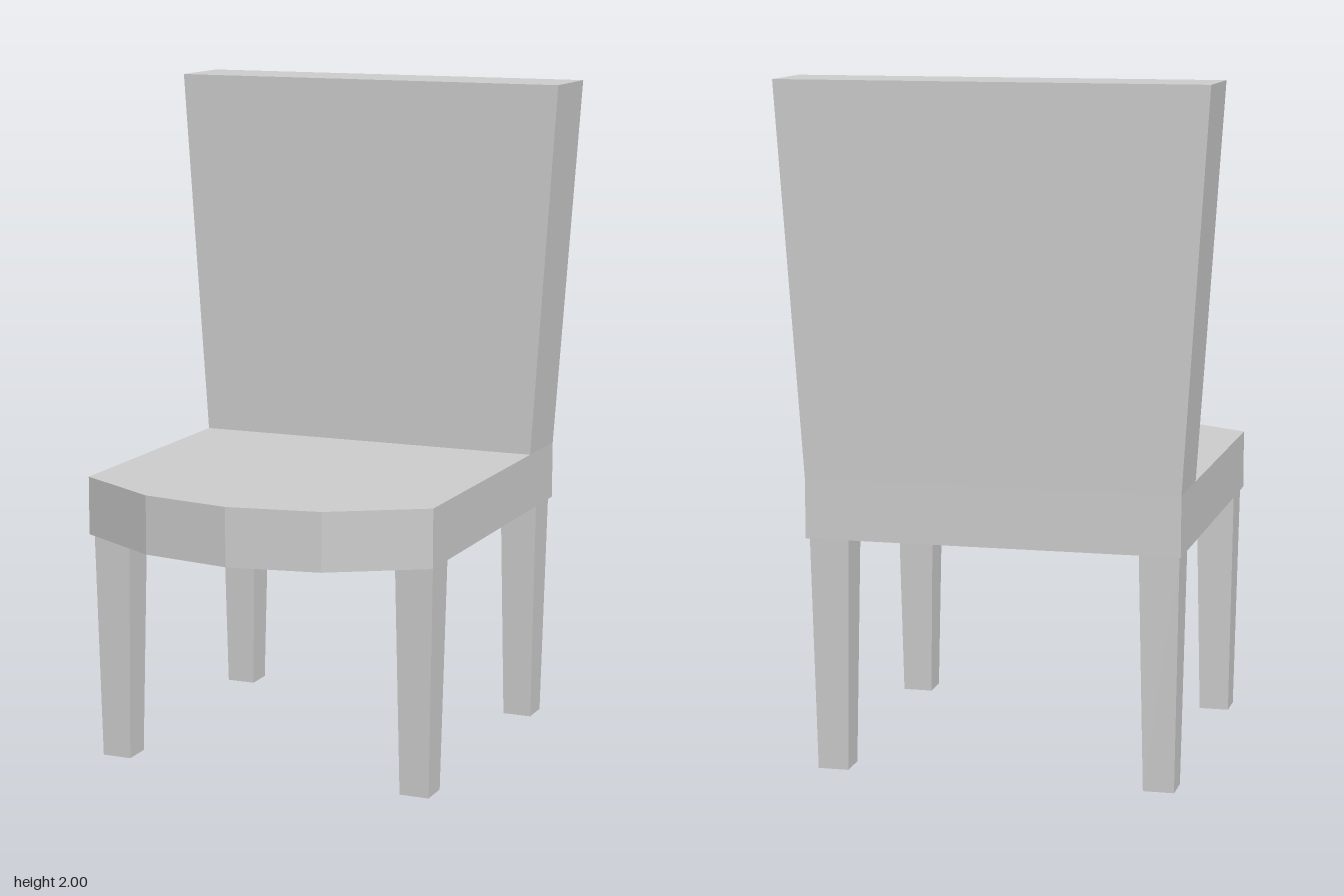
import * as THREE from 'three';

const material = new THREE.MeshStandardMaterial({ color: 0xcccccc, flatShading: true });

// Box whose bottom and top rectangles differ: each is [x0, x1, z0, z1]
function taperedBox(name, y0, y1, bottom, top) {
  const geometry = new THREE.BoxGeometry(1, 1, 1);
  const p = geometry.attributes.position;
  for (let i = 0; i < p.count; i++) {
    const up = p.getY(i) > 0;
    const r = up ? top : bottom;
    p.setXYZ(i, p.getX(i) > 0 ? r[1] : r[0], up ? y1 : y0, p.getZ(i) > 0 ? r[3] : r[2]);
  }
  geometry.computeVertexNormals();
  const mesh = new THREE.Mesh(geometry, material);
  mesh.name = name;
  return mesh;
}

export function createModel() {
  const chair = new THREE.Group();
  chair.name = 'chair';
  const seatBottom = 0.69, seatTop = 0.865;

  // Seat: plan outline with a faceted bowed front, extruded upward
  const outline = [
    [-0.547, -0.622], [0.547, -0.622], [0.547, 0.422],
    [0.275, 0.588], [0, 0.636], [-0.275, 0.588], [-0.547, 0.422],
  ];
  const shape = new THREE.Shape(outline.map(([x, z]) => new THREE.Vector2(x, -z)));
  const seatGeometry = new THREE.ExtrudeGeometry(shape, {
    depth: seatTop - seatBottom, bevelEnabled: false,
  });
  seatGeometry.rotateX(-Math.PI / 2).translate(0, seatBottom, 0);
  const seat = new THREE.Mesh(seatGeometry, material);
  seat.name = 'seat';
  chair.add(seat);

  // Backrest: flares outward and thickens slightly toward the top
  chair.add(taperedBox('backrest', seatTop, 2,
    [-0.547, 0.547, -0.622, -0.406], [-0.622, 0.622, -0.636, -0.397]));

  // Four legs, narrowing toward the floor
  for (const [end, z] of [['front', 0.345], ['back', -0.547]]) {
    for (const [side, x] of [['Left', 0.482], ['Right', -0.482]]) {
      const square = (h) => [x - h, x + h, z - h, z + h];
      chair.add(taperedBox(`${end}${side}Leg`, 0, seatBottom, square(0.045), square(0.058)));
    }
  }
  return chair;
}
